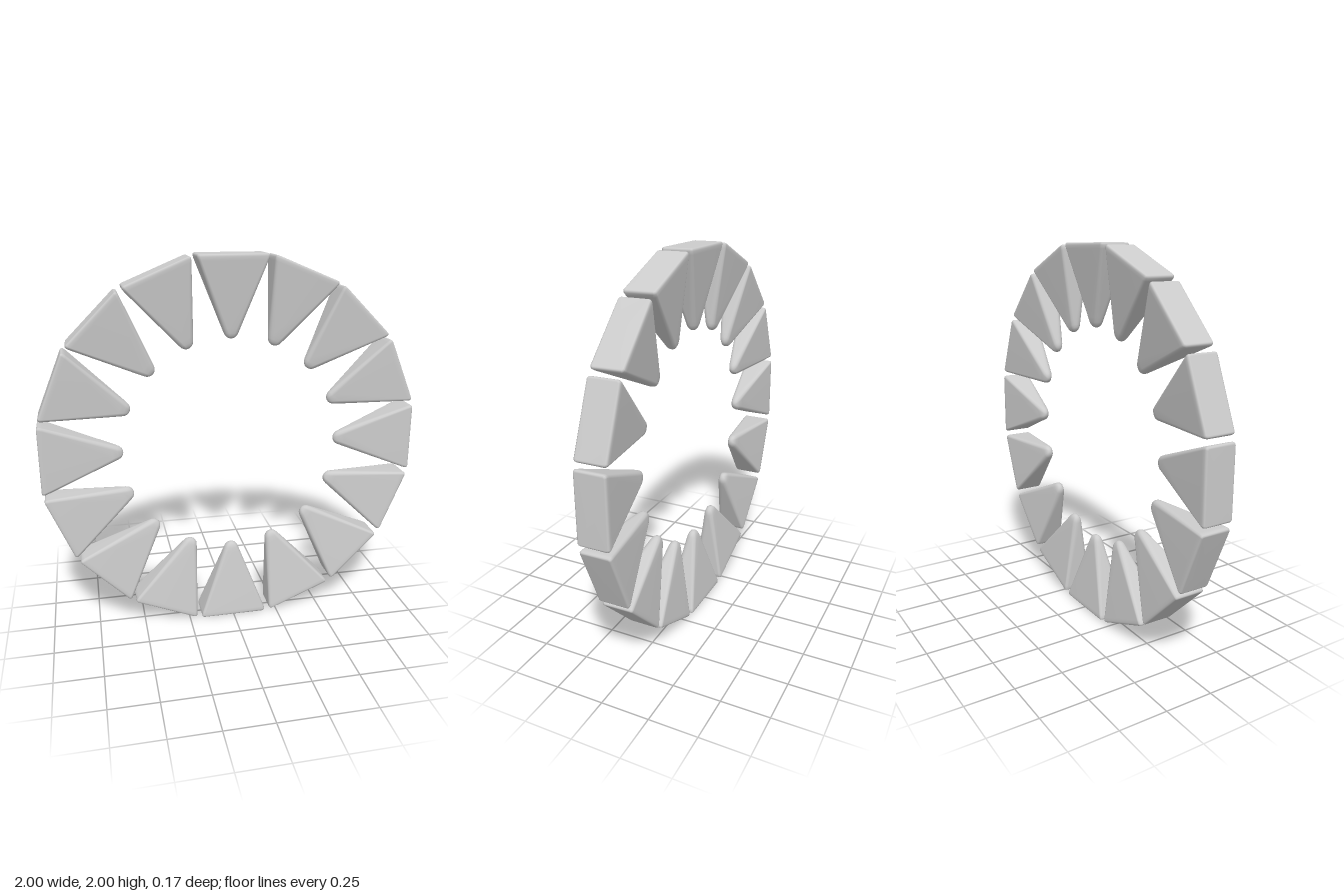
import * as THREE from 'three';

const COUNT = 16;      // wedges around the ring
const CORNER = 4;      // points per rounded corner

// Cross-sections from inner tip to outer base:
// [radius from ring centre, half width, half depth, corner radius]
const SECTIONS = [
  [0.577, 0.011, 0.009, 0.008],
  [0.582, 0.021, 0.016, 0.014],
  [0.591, 0.031, 0.022, 0.02],
  [0.605, 0.038, 0.027, 0.023],
  [0.630, 0.048, 0.031, 0.024],
  [0.970, 0.177, 0.081, 0.016],
  [0.987, 0.182, 0.0825, 0.015],
  [0.995, 0.180, 0.081, 0.013],
  [0.999, 0.176, 0.077, 0.010],
  [1.000, 0.170, 0.071, 0.006],
];

// Rounded rectangle loop at one height
function ring([r, w, d, c]) {
  const pts = [];
  [[1, 1], [-1, 1], [-1, -1], [1, -1]].forEach(([sx, sz], q) => {
    for (let i = 0; i < CORNER; i++) {
      const a = (q + i / (CORNER - 1)) * Math.PI / 2;
      pts.push(sx * (w - c) + c * Math.cos(a), r, sz * (d - c) + c * Math.sin(a));
    }
  });
  return pts;
}

// Tapered four-sided wedge with softened edges and a rounded tip
function wedgeGeometry() {
  const n = CORNER * 4;
  const last = SECTIONS.length - 1;
  const pos = SECTIONS.flatMap(ring);
  const index = [];
  for (let s = 0; s < last; s++) {
    for (let i = 0; i < n; i++) {
      const a = s * n + i, b = s * n + (i + 1) % n;
      index.push(a, a + n, b, b, a + n, b + n);
    }
  }
  // tip and base caps
  const tip = pos.length / 3, base = tip + 1;
  pos.push(0, 0.575, 0, 0, 1, 0);
  for (let i = 0; i < n; i++) {
    const j = (i + 1) % n;
    index.push(tip, i, j, base, last * n + j, last * n + i);
  }
  const geo = new THREE.BufferGeometry();
  geo.setAttribute('position', new THREE.Float32BufferAttribute(pos, 3));
  geo.setIndex(index);
  geo.computeVertexNormals();
  return geo;
}

export function createModel() {
  const group = new THREE.Group();
  group.name = 'wedgeRing';
  const material = new THREE.MeshStandardMaterial({ color: 0xcccccc });
  const geo = wedgeGeometry();

  // wedges pointing at the ring centre
  for (let i = 0; i < COUNT; i++) {
    const wedge = new THREE.Mesh(geo, material);
    wedge.name = `wedge${i + 1}`;
    wedge.position.y = 1;
    wedge.rotation.z = -i * 2 * Math.PI / COUNT;
    group.add(wedge);
  }
  return group;
}
